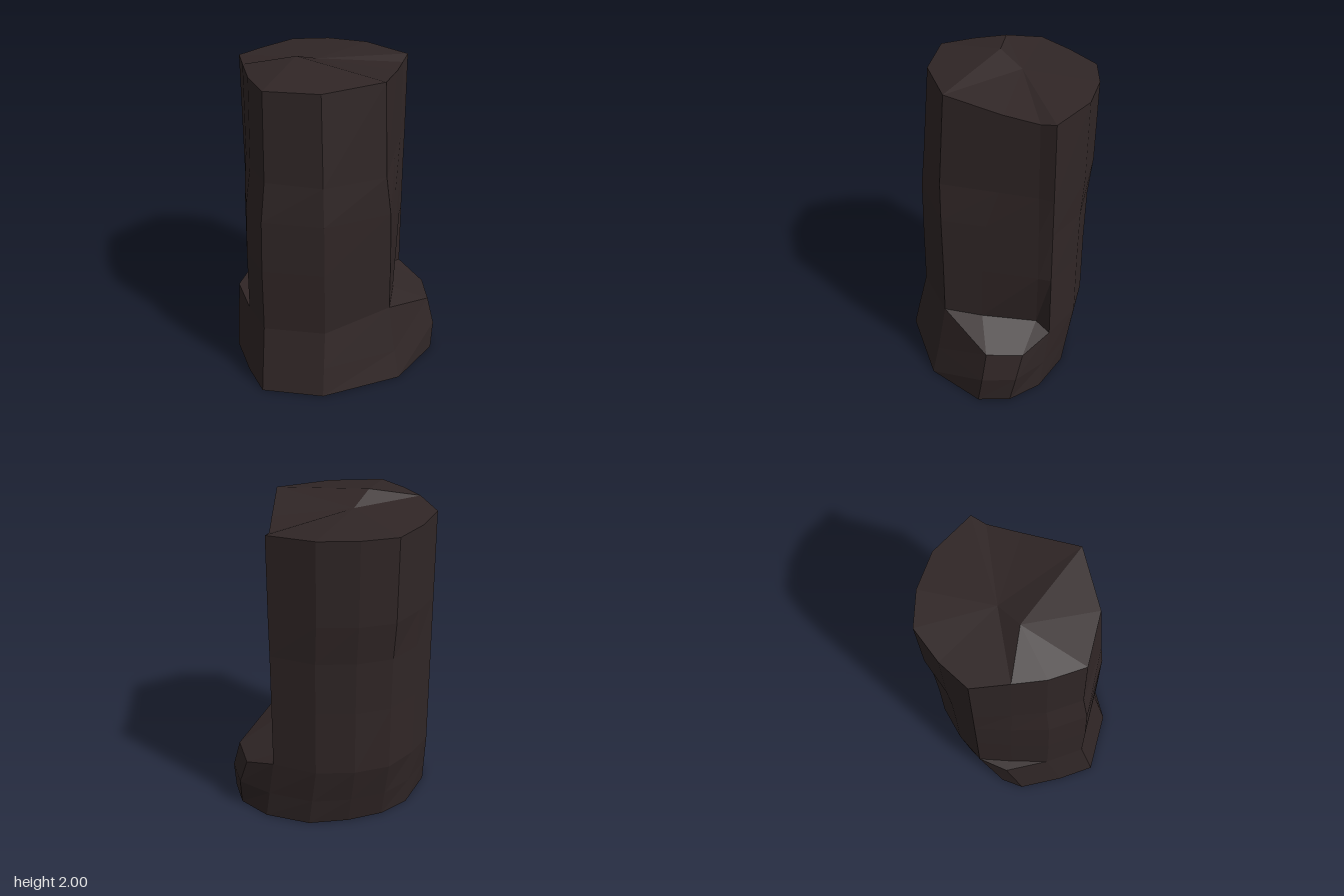
import * as THREE from 'three';

// Cross-sections, each running front -> left (+x) -> back -> right (-x)
const footprint = [
  [-0.18, 0, 0.575], [0.32, 0, 0.48], [0.60, 0, 0.215], [0.62, 0, 0.02], [0.52, 0, -0.18],
  [0.30, 0, -0.36], [0.06, 0, -0.42], [-0.16, 0, -0.43], [-0.36, 0, -0.37], [-0.58, 0, -0.17],
  [-0.64, 0, -0.04], [-0.60, 0, 0.23], [-0.54, 0, 0.45],
];
const shoulder = [
  [-0.15, 0.41, 0.485], [0.27, 0.48, 0.385], [0.58, 0.355, 0.16], [0.60, 0.345, -0.06], [0.485, 0.41, -0.24],
  [0.28, 0.41, -0.43], [0.06, 0.41, -0.51], [-0.16, 0.41, -0.525], [-0.36, 0.41, -0.43], [-0.52, 0.41, -0.31],
  [-0.61, 0.41, -0.14], [-0.57, 0.41, 0.13], [-0.505, 0.41, 0.365],
];
const rim = [
  [-0.15, 1.94, 0.41], [0.22, 1.957, 0.345], [0.36, 1.89, 0.03], [0.44, 1.865, -0.16], [0.49, 1.885, -0.24],
  [0.28, 1.895, -0.46], [0.06, 1.9, -0.555], [-0.16, 1.9, -0.58], [-0.36, 1.905, -0.455], [-0.52, 1.92, -0.31],
  [-0.52, 1.945, -0.09], [-0.51, 1.94, 0.10], [-0.455, 1.94, 0.31],
];
const peak = [-0.22, 2.0, -0.02];
const dip = [-0.08, 1.935, -0.13];

const lerp = THREE.MathUtils.lerp;

// Low bulging section: the left-hand knob swells halfway up
const swell = footprint.map(([x, , z], i) => {
  const s = shoulder[i], knob = i === 2 || i === 3;
  return [knob ? x + 0.017 : lerp(x, s[0], 0.43), 0.18, lerp(z, s[2], 0.43)];
});

// Column plan, stepped in from the shoulder on both sides
const inset = { 2: [0.345, 0.47, 0.16], 3: [0.455, 0.43, -0.165], 10: [-0.55, 0.41, -0.10] };
const columnPlan = shoulder.map((p, i) => inset[i] ?? p);

// Foot of the column, with a small notch above the knob
const columnFoot = columnPlan.map((p, i) => (i === 3 ? [0.40, 0.44, -0.17] : p));

// Column section at a height; shift is how far it has moved toward the rim
const columnRing = (y, shift, bulge) => columnPlan.map(([x, , z], i) => [
  lerp(x, rim[i][0], shift), y, lerp(z, rim[i][2], shift) + (z > 0.38 ? bulge : 0),
]);

function facets(triangles) {
  const g = new THREE.BufferGeometry();
  g.setAttribute('position', new THREE.Float32BufferAttribute(triangles.flat(2), 3));
  g.computeVertexNormals();
  return g;
}

// Triangles skinning a list of rings
function loft(rings) {
  const out = [];
  for (let k = 0; k + 1 < rings.length; k++) {
    const a = rings[k], b = rings[k + 1];
    a.forEach((p, i) => {
      const j = (i + 1) % a.length;
      out.push([p, a[j], b[j]], [p, b[j], b[i]]);
    });
  }
  return out;
}

// Triangles joining a centre to consecutive points
const fan = (centre, points) => points.slice(1).map((p, i) => [centre, points[i], p]);

export function createModel() {
  const group = new THREE.Group();
  group.name = 'stonePillar';
  const stone = new THREE.MeshStandardMaterial({ color: 0x302626, flatShading: true });
  stone.name = 'darkStone';

  const add = (name, triangles) => {
    const mesh = new THREE.Mesh(facets(triangles), stone);
    mesh.name = name;
    group.add(mesh);
  };

  // Flared base with its ledges
  add('base', loft([footprint, swell, shoulder, columnFoot]));
  add('underside', fan([0, 0, 0], [...footprint, footprint[0]].reverse()));

  // Faceted column, overhanging slightly at the back
  add('column', loft([
    columnFoot,
    columnRing(0.82, 0.03, 0),
    columnRing(1.15, 0.22, 0.01),
    columnRing(1.39, 0.8, 0.03),
    rim,
  ]));

  // Broken top: raised at the front, dipping behind the peak
  add('brokenTop', [
    ...fan(peak, [...rim.slice(10), rim[0], rim[1], dip, rim[10]]),
    ...fan(dip, rim.slice(1, 11)),
  ]);

  return group;
}
